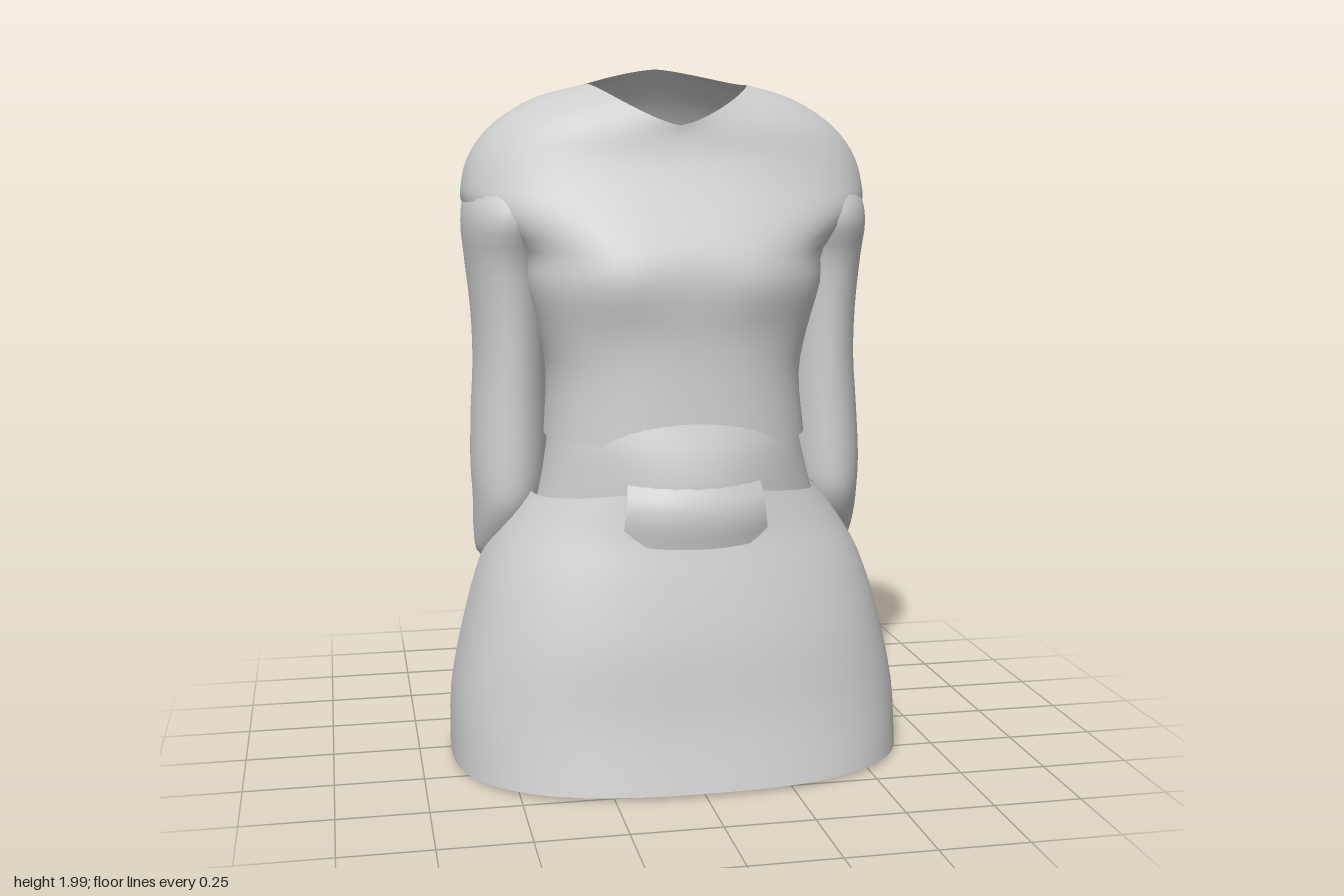
import * as THREE from 'three';

const cloth = new THREE.MeshStandardMaterial({ color: 0xcccccc, side: THREE.DoubleSide });
cloth.name = 'light grey cloth';

const { smoothstep: smooth, lerp } = THREE.MathUtils;
const bump = (d, w) => Math.exp(-((d / w) ** 2));

// smooth in-between rings
function refine(rings, steps) {
  const out = [];
  const at = i => rings[Math.max(0, Math.min(rings.length - 1, i))];
  for (let i = 0; i < rings.length - 1; i++) {
    for (let k = 0; k < steps; k++) {
      const t = k / steps;
      out.push(rings[i].map((b, c) => {
        const a = at(i - 1)[c], d = at(i + 1)[c], e = at(i + 2)[c];
        return b + 0.5 * t * (d - a + t * (2 * a - 5 * b + 4 * d - e + t * (3 * (b - d) + e - a)));
      }));
    }
  }
  out.push(rings[rings.length - 1]);
  return out;
}

// loft from bottom to top; ring = [ySide, yFront, yBack, centreX, radiusX, centreZ, frontZ, backZ]
// nF, nB: squareness of the front and back halves, easing to nTop at the top
function loft(name, rings, { nF = 2, nB = 2, nTop, segs = 56, steps = 3, deform } = {}) {
  const pos = [], idx = [];
  const rows = refine(rings, steps);
  rows.forEach(([yS, yF, yB, cx, rx, zc, zF, zB], i) => {
    const t = i / (rows.length - 1);
    for (let j = 0; j < segs; j++) {
      const a = j / segs * Math.PI * 2, c = Math.cos(a), s = Math.sin(a);
      const front = s >= 0, n = front ? nF : nB;
      const p = 2 / lerp(n, nTop ?? n, smooth(t, 0.75, 1));
      const u = Math.sign(c) * Math.abs(c) ** p, w = Math.abs(s) ** p;
      const v = new THREE.Vector3(
        cx + rx * u,
        yS + ((front ? yF : yB) - yS) * (1 - Math.abs(u) ** 1.4),
        zc + ((front ? zF : zB) - zc) * w);
      if (deform) deform(v, front, t);
      pos.push(v.x, v.y, v.z);
      if (i < rows.length - 1) {
        const k = (j + 1) % segs, q = i * segs;
        idx.push(q + j, q + segs + j, q + k, q + k, q + segs + j, q + segs + k);
      }
    }
  });
  const g = new THREE.BufferGeometry();
  g.setAttribute('position', new THREE.Float32BufferAttribute(pos, 3));
  g.setIndex(idx);
  g.computeVertexNormals();
  const mesh = new THREE.Mesh(g, cloth);
  mesh.name = name;
  return mesh;
}

// belly bulge of the shirt tail
const belly = (x, y, width) => 0.05 * (1 - smooth(y, 0.78, 1.03)) * bump(x, width);

export function createModel() {
  const model = new THREE.Group();
  model.name = 'garment';

  // shirt body with broad shoulders, a bust and a spine groove
  model.add(loft('shirt', [
    [0.95, 0.94, 1.03, 0.01, 0.385, 0.00, 0.328, -0.45],
    [1.12, 1.12, 1.13, 0.01, 0.370, 0.00, 0.312, -0.45],
    [1.25, 1.25, 1.25, 0.01, 0.395, 0.00, 0.308, -0.46],
    [1.38, 1.38, 1.38, 0.01, 0.432, 0.00, 0.318, -0.475],
    [1.48, 1.48, 1.48, 0.01, 0.450, -0.03, 0.298, -0.475],
    [1.59, 1.58, 1.59, 0.01, 0.585, -0.12, 0.235, -0.46],
    [1.67, 1.66, 1.67, 0.01, 0.597, -0.13, 0.185, -0.435],
    [1.76, 1.73, 1.77, 0.01, 0.568, -0.13, 0.150, -0.400],
    [1.845, 1.78, 1.87, 0.01, 0.495, -0.13, 0.135, -0.350],
    [1.915, 1.81, 1.95, 0.01, 0.375, -0.12, 0.130, -0.295],
    [1.95, 1.83, 2.00, 0.01, 0.235, -0.08, 0.130, -0.25],
  ], {
    nF: 2.4, nB: 2.4, nTop: 2,
    deform(v, front) {
      const x = v.x - 0.01;
      if (front) v.z += 0.015 * bump(v.y - 1.4, 0.1) * bump(Math.abs(x) - 0.2, 0.12);
      else v.z += 0.025 * bump(x, 0.06) * smooth(v.y, 1.0, 1.2) * (1 - smooth(v.y, 1.7, 1.9));
    },
  }));

  // lower shirt: flush with the front, inside the back hem
  model.add(loft('waistband', [
    [0.74, 0.74, 0.72, 0.01, 0.42, 0.0, 0.330, -0.395],
    [0.85, 0.85, 0.85, 0.01, 0.39, 0.0, 0.335, -0.39],
    [0.95, 0.95, 0.98, 0.01, 0.365, 0.0, 0.334, -0.395],
    [1.02, 1.06, 1.08, 0.01, 0.35, 0.0, 0.305, -0.40],
  ], {
    nF: 2.4, nB: 2.4,
    deform(v, front) {
      if (front) v.z += belly(v.x - 0.01, v.y, 0.2);
    },
  }));

  // loose front flap hanging over the skirt
  const flapGeo = new THREE.PlaneGeometry(0.38, 0.26, 14, 10);
  const fp = flapGeo.attributes.position;
  for (let i = 0; i < fp.count; i++) {
    const y = fp.getY(i) + 0.80;
    const x = fp.getX(i) * (1 + 0.1 * (0.83 - y) / 0.16);
    const round = 0.335 * (1 - (Math.abs(x) / 0.39) ** 2.4) ** (1 / 2.4);
    const offset = -0.015 + 0.035 * (1 - smooth(y, 0.76, 0.89)) - 0.01 * (1 - smooth(y, 0.67, 0.73));
    const spread = 0.2 + 0.08 * (1 - smooth(y, 0.74, 0.85));
    fp.setXYZ(i, x + 0.01, y + 0.25 * x * x, round + belly(x, y, spread) + offset);
  }
  flapGeo.computeVertexNormals();
  const flap = new THREE.Mesh(flapGeo, cloth);
  flap.name = 'frontFlap';
  model.add(flap);

  // sleeves: [y, centre x, radius x, centre z, radius z]; tops end inside the shoulders
  const sleeve = [
    [0.555, 0.515, 0.025, -0.12, 0.03],
    [0.58, 0.508, 0.065, -0.11, 0.08],
    [0.66, 0.495, 0.088, -0.09, 0.135],
    [0.75, 0.482, 0.102, -0.075, 0.17],
    [0.85, 0.477, 0.112, -0.08, 0.178],
    [1.00, 0.472, 0.112, -0.095, 0.182],
    [1.15, 0.468, 0.107, -0.105, 0.186],
    [1.30, 0.470, 0.109, -0.11, 0.190],
    [1.45, 0.475, 0.119, -0.115, 0.205],
    [1.56, 0.468, 0.135, -0.11, 0.235],
    [1.65, 0.450, 0.135, -0.125, 0.212],
    [1.73, 0.420, 0.100, -0.13, 0.140],
    [1.76, 0.400, 0.040, -0.13, 0.060],
  ];
  for (const side of [1, -1]) {
    model.add(loft(side > 0 ? 'leftSleeve' : 'rightSleeve',
      sleeve.map(([y, x, rx, z, rz]) => [y, y, y, 0.01 + side * x, rx, z, z + rz, z - rz]),
      { segs: 28 }));
  }

  // flared skirt with an uneven hem
  model.add(loft('skirt', [
    [0.02, 0.02, 0.01, 0, 0.66, 0.05, 0.54, -0.54],
    [0.20, 0.20, 0.20, 0, 0.655, 0.04, 0.49, -0.495],
    [0.40, 0.40, 0.40, 0, 0.615, 0.03, 0.455, -0.47],
    [0.58, 0.58, 0.58, 0, 0.56, 0.02, 0.405, -0.45],
    [0.70, 0.70, 0.70, 0, 0.49, 0.02, 0.368, -0.43],
    [0.79, 0.83, 0.78, 0, 0.42, 0.03, 0.345, -0.41],
  ], {
    nF: 2.6, nB: 2.15, segs: 72,
    deform(v, front, t) {
      const lift = smooth(-v.z, 0.05, 0.17) * (1 - smooth(-v.z, 0.46, 0.53));
      v.y += 0.085 * lift * (1 - smooth(t, 0, 0.25));
    },
  }));

  return model;
}
